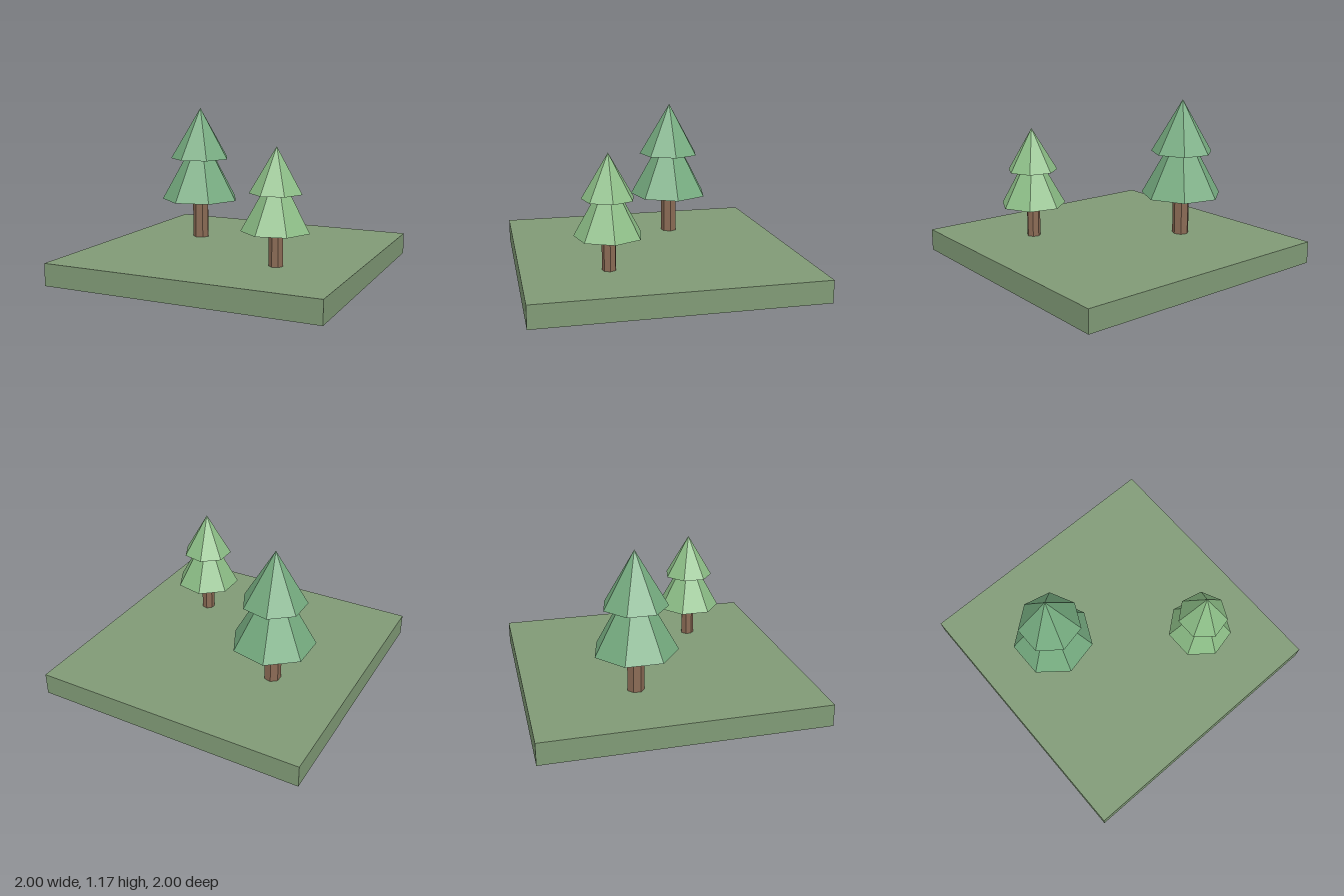
import * as THREE from 'three';

const SIDES = 7;
const material = (color) => new THREE.MeshStandardMaterial({ color, flatShading: true });

function addPart(parent, name, geometry, mat, y) {
  const mesh = new THREE.Mesh(geometry, mat);
  mesh.name = name;
  mesh.position.y = y;
  parent.add(mesh);
}

// Closed seven-sided cone standing on baseY, one corner pointing to +x
function addFoliage(parent, name, radius, height, baseY, mat) {
  const cone = new THREE.ConeGeometry(radius, height, SIDES, 1, false, Math.PI / 2);
  addPart(parent, name, cone, mat, baseY + height / 2);
}

// Conifer with a trunk and two overlapping tiers of foliage
function createTree(name, leafColor, barkMaterial) {
  const tree = new THREE.Group();
  tree.name = name;
  const leaves = material(leafColor);
  const trunk = new THREE.CylinderGeometry(0.062, 0.062, 0.34, SIDES, 1, false, Math.PI / 2);
  addPart(tree, 'trunk', trunk, barkMaterial, 0.17);
  addFoliage(tree, 'lowerFoliage', 0.3, 0.54, 0.3, leaves);
  addFoliage(tree, 'upperFoliage', 0.23, 0.39, 0.62, leaves);
  return tree;
}

export function createModel() {
  const model = new THREE.Group();
  model.name = 'groundWithTrees';
  const groundHeight = 0.16;

  // Square slab of ground
  addPart(model, 'ground', new THREE.BoxGeometry(2, groundHeight, 2), material(0x809a76), groundHeight / 2);

  const bark = material(0x8b6b55);
  const largeTree = createTree('largeTree', 0x76ac80, bark);
  largeTree.position.set(-0.44, groundHeight, -0.24);

  const smallTree = createTree('smallTree', 0x8cbd86, bark);
  smallTree.position.set(0.46, groundHeight, 0.4);
  smallTree.scale.setScalar(0.8);

  model.add(largeTree, smallTree);
  return model;
}
